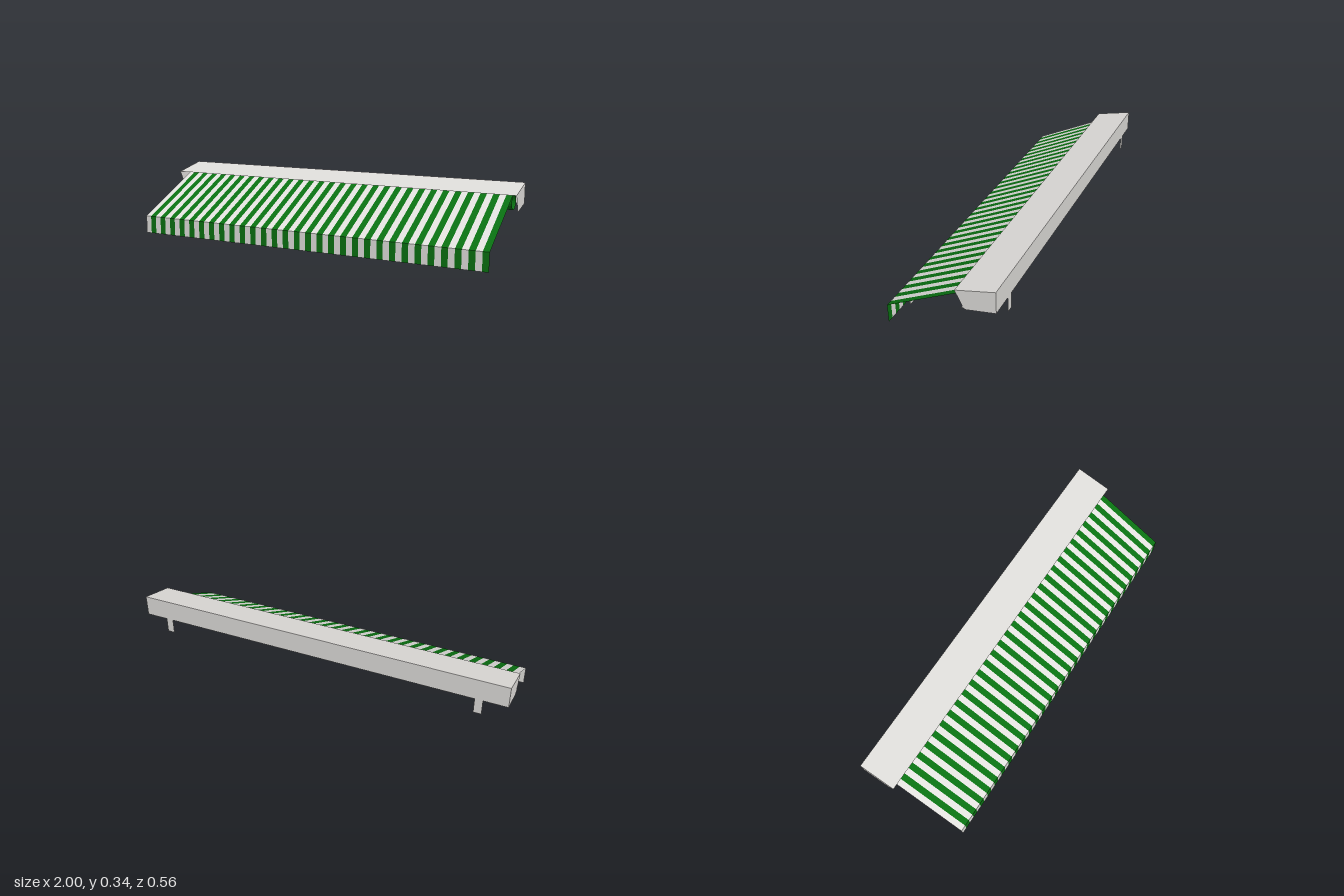
import * as THREE from 'three';

const V = (x, y, z) => new THREE.Vector3(x, y, z);

export function createModel() {
  const group = new THREE.Group();
  group.name = 'awning';
  const material = (name, color) => {
    const m = new THREE.MeshStandardMaterial({ color, side: THREE.DoubleSide });
    m.name = name;
    return m;
  };
  const cream = material('off white fabric', 0xe4e3e0);
  const green = material('green fabric', 0x0a7212);
  const metal = material('light grey metal', 0xe0dedb);

  const add = (name, geometry, mat) => {
    const mesh = new THREE.Mesh(geometry, mat);
    mesh.name = name;
    group.add(mesh);
    return mesh;
  };

  // Sheet following a [z, y] profile, repeated over several x spans
  const sheet = (profile, spans) => {
    const pos = [];
    for (const [x0, x1] of spans) {
      for (let i = 0; i < profile.length - 1; i++) {
        const [z0, y0] = profile[i], [z1, y1] = profile[i + 1];
        pos.push(x0, y0, z0, x1, y0, z0, x1, y1, z1);
        pos.push(x0, y0, z0, x1, y1, z1, x0, y1, z1);
      }
    }
    const g = new THREE.BufferGeometry();
    g.setAttribute('position', new THREE.Float32BufferAttribute(pos, 3));
    g.computeVertexNormals();
    return g;
  };

  // Striped fabric: valance, sloping canopy, then one turn round the roller
  const cz = -0.175, cy = 0.257, r = 0.044, fz = 0.275, fy = 0.095;
  const start = Math.atan2(fy - cy, fz - cz) + Math.acos(r / Math.hypot(fz - cz, fy - cy));
  const profile = [[fz, 0], [fz, fy]];
  for (let i = 0; i <= 24; i++) {
    const a = start + (i / 24) * Math.PI * 2;
    profile.push([cz + r * Math.cos(a), cy + r * Math.sin(a)]);
  }
  const spans = [[], []];
  const count = 60, half = 0.97, step = (2 * half) / count;
  for (let i = 0; i < count; i++) {
    spans[i % 2].push([-half + i * step, -half + (i + 1) * step]);
  }
  add('lightStripes', sheet(profile, spans[0]), cream);
  add('greenStripes', sheet(profile, spans[1]), green);

  // Hood: sloping top and back panel, open at the front and below
  add('hood', sheet([[-0.28, 0.232], [-0.28, 0.34], [-0.088, 0.3]].reverse(), [[-1, 1]]), metal);
  const endShape = new THREE.Shape([
    [-0.28, 0.232], [-0.28, 0.34], [-0.088, 0.3], [-0.122, 0.229],
    [-0.116, 0.213], [-0.126, 0.219], [-0.132, 0.214], [-0.14, 0.212],
  ].map(([z, y]) => new THREE.Vector2(-z, y)));
  const endGeometry = new THREE.ShapeGeometry(endShape).rotateY(Math.PI / 2);

  // Straight rectangular bar between two points
  const bar = (name, a, b, w, h) => {
    const mesh = add(name, new THREE.BoxGeometry(w, h, a.distanceTo(b)), metal);
    mesh.position.copy(a).lerp(b, 0.5);
    mesh.lookAt(b);
    return mesh;
  };

  for (const s of [1, -1]) {
    const side = s > 0 ? 'left' : 'right';
    add(side + 'HoodEnd', endGeometry, metal).position.x = s;

    // Folding arm
    const shoulder = V(s * 0.73, 0.173, -0.15);
    const elbow = V(s * 0.18, 0.098, 0.04);
    const wrist = V(s * 0.75, 0.028, 0.218);
    bar(side + 'UpperArm', shoulder, elbow, 0.026, 0.032);
    bar(side + 'Forearm', elbow, wrist, 0.026, 0.032);

    // Elbow knuckle
    const knuckle = add(side + 'Elbow', new THREE.BoxGeometry(0.034, 0.016, 0.034), metal);
    knuckle.position.set(s * 0.18, 0.119, 0.043);
    knuckle.rotation.x = 0.17;

    // Shoulder post and flat wall plate
    add(side + 'ShoulderPost', new THREE.BoxGeometry(0.03, 0.07, 0.015), metal)
      .position.set(s * 0.73, 0.195, -0.1555);
    add(side + 'WallPlate', new THREE.PlaneGeometry(0.04, 0.082), metal)
      .position.set(s * 0.86, 0.195, -0.2795);
  }

  // Front bar carrying the arm ends
  add('frontBar', new THREE.BoxGeometry(1.72, 0.033, 0.005), metal).position.set(0, 0.0535, 0.223);
  return group;
}
